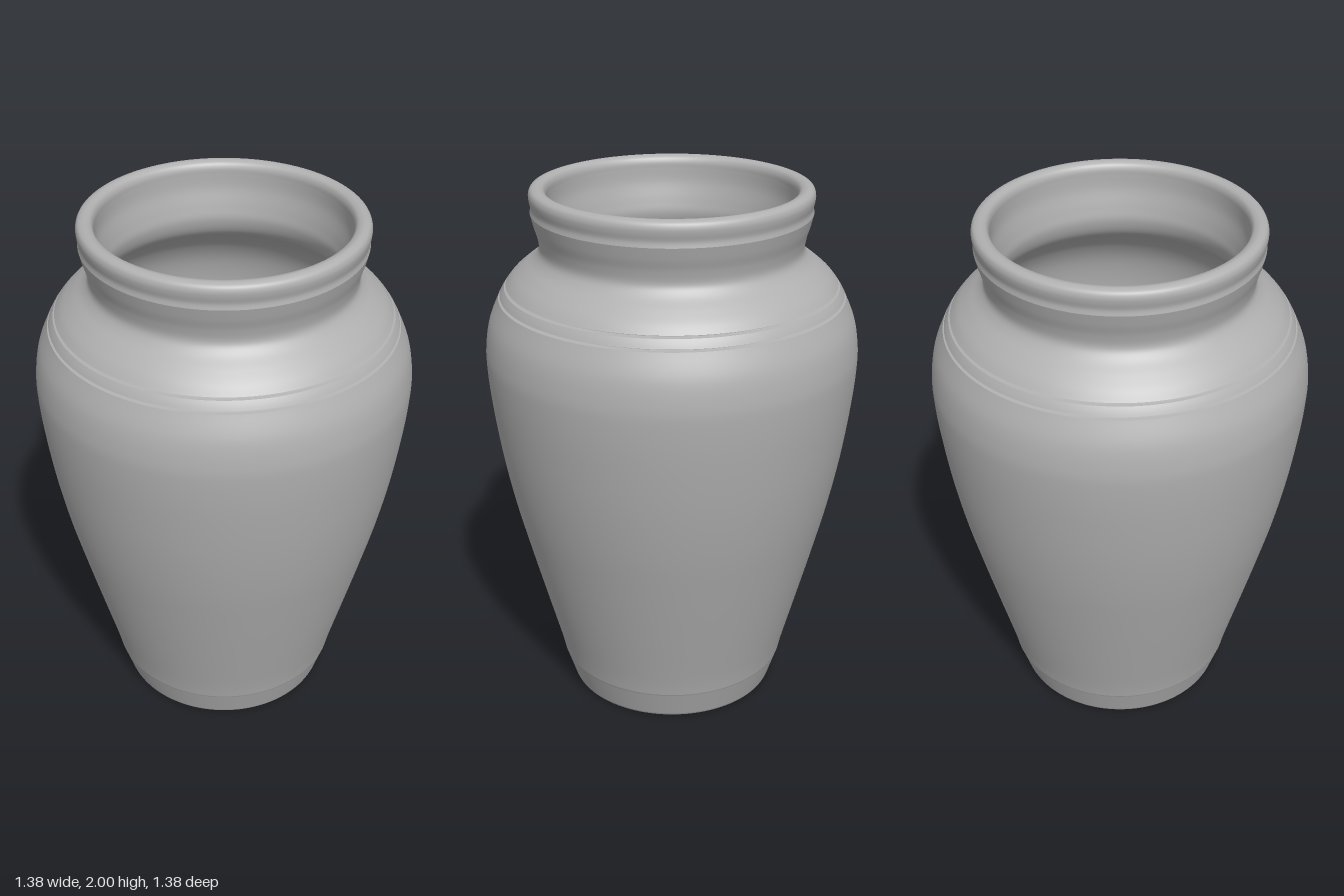
import * as THREE from 'three';

const SEGMENTS = 128;

export function createModel() {
  const clay = new THREE.MeshStandardMaterial({ color: 0xb0b0b0 });
  clay.name = 'grey clay';
  const vase = new THREE.Group();
  vase.name = 'vase';

  // Turn a profile of [radius, height] points; steps > 0 smooths it with a spline
  function turn(name, profile, steps = 0) {
    let points = profile.map(([r, y]) => new THREE.Vector2(r, y));
    if (steps) points = new THREE.SplineCurve(points).getPoints(steps);
    const mesh = new THREE.Mesh(new THREE.LatheGeometry(points, SEGMENTS), clay);
    mesh.name = name;
    vase.add(mesh);
  }

  // Underside, and foot with a softened lower edge
  turn('underside', [[0, 0], [0.39, 0]]);
  turn('footEdge', [[0.39, 0], [0.398, 0.003], [0.403, 0.012]], 6);
  turn('foot', [[0.403, 0.012], [0.42, 0.065], [0.436, 0.115]]);
  turn('footStep', [[0.436, 0.115], [0.439, 0.122]]);

  // Body swelling up to the shoulder
  turn('body', [
    [0.439, 0.122], [0.457, 0.2], [0.51, 0.4], [0.562, 0.6], [0.611, 0.8],
    [0.65, 1.0], [0.678, 1.2], [0.69, 1.34], [0.689, 1.42], [0.673, 1.51], [0.637, 1.597],
  ], 60);

  // Two incised rings with a plain band between them
  turn('lowerGroove', [[0.637, 1.597], [0.621, 1.6], [0.619, 1.604], [0.632, 1.606]]);
  turn('band', [[0.632, 1.606], [0.624, 1.621], [0.614, 1.636]], 4);
  turn('upperGroove', [[0.614, 1.636], [0.598, 1.639], [0.596, 1.643], [0.608, 1.645]]);

  // Shoulder running into the waisted neck
  turn('shoulderAndNeck', [
    [0.608, 1.645], [0.583, 1.675], [0.545, 1.708], [0.503, 1.742], [0.482, 1.775],
    [0.486, 1.82], [0.499, 1.865], [0.51, 1.91],
  ], 40);

  // Rolled rim
  turn('rim', [
    [0.51, 1.91], [0.507, 1.93], [0.512, 1.955], [0.513, 1.975], [0.506, 1.992],
    [0.49, 2.0], [0.475, 2.0], [0.459, 1.992], [0.451, 1.975], [0.45, 1.955],
  ], 40);

  // Hollow inside following the outer form, down to a flat floor
  turn('innerWall', [
    [0.45, 1.955], [0.447, 1.9], [0.432, 1.83], [0.426, 1.775], [0.449, 1.715],
    [0.51, 1.662], [0.572, 1.595], [0.616, 1.5], [0.634, 1.36], [0.62, 1.2],
    [0.592, 1.0], [0.553, 0.8], [0.503, 0.6], [0.45, 0.4], [0.396, 0.2], [0.375, 0.11],
  ], 90);
  turn('innerCorner', [[0.375, 0.11], [0.369, 0.08], [0.355, 0.065]], 6);
  turn('innerFloor', [[0.355, 0.065], [0, 0.065]]);

  return vase;
}
